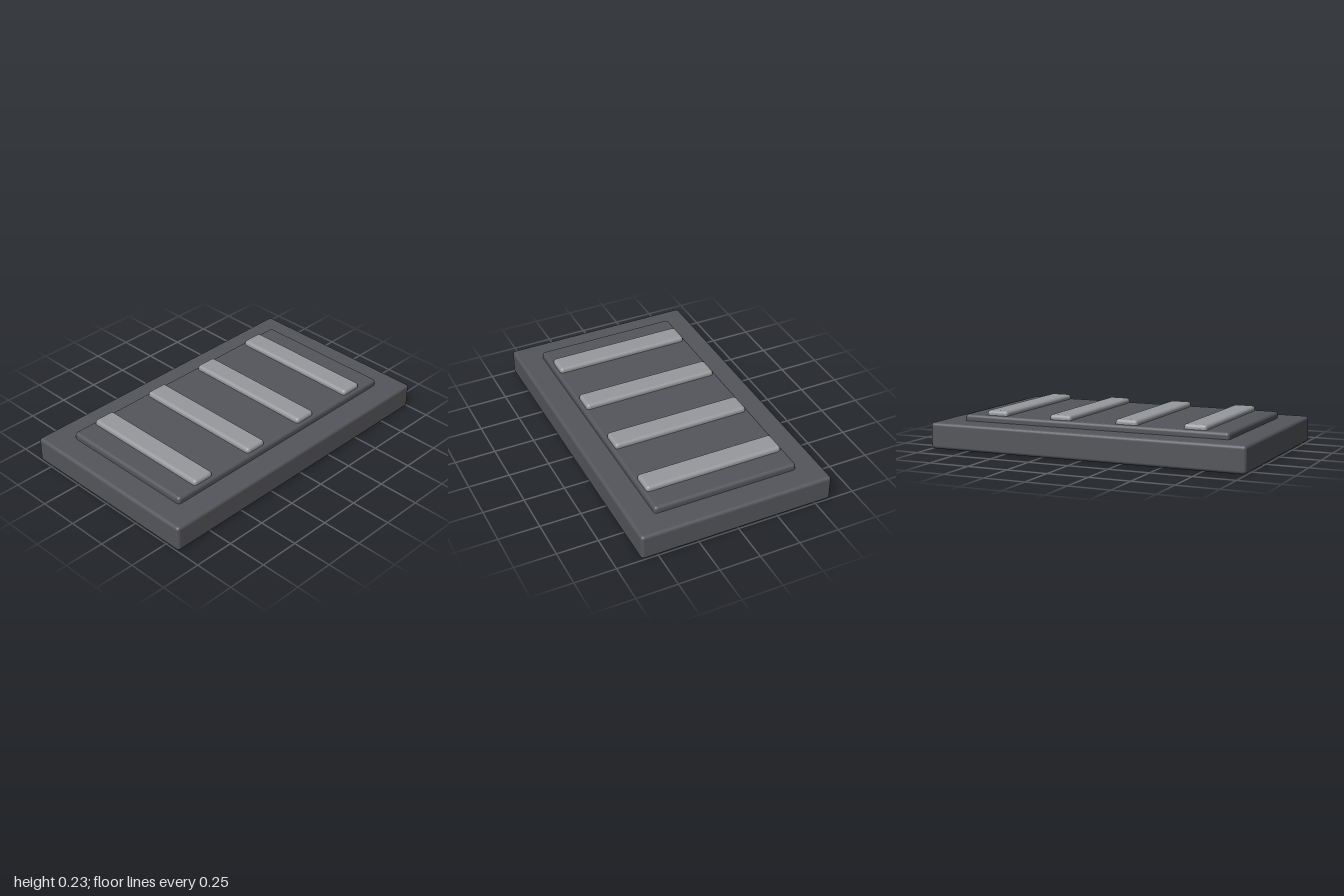
import * as THREE from 'three';
import { RoundedBoxGeometry } from 'three/addons/geometries/RoundedBoxGeometry.js';

export function createModel() {
  const model = new THREE.Group();
  model.name = 'ribbedPlatform';
  const dark = new THREE.MeshStandardMaterial({ color: 0x55565b });
  const light = new THREE.MeshStandardMaterial({ color: 0x98999c });

  // Rounded slab centred on z = 0, given its bottom and top heights
  function slab(name, width, depth, bottom, top, radius, x, material) {
    const geometry = new RoundedBoxGeometry(width, top - bottom, depth, 4, radius);
    const mesh = new THREE.Mesh(geometry, material);
    mesh.name = name;
    mesh.position.set(x, (bottom + top) / 2, 0);
    model.add(mesh);
  }

  // Thick base and the raised panel set into its top
  slab('base', 2, 1.2, 0, 0.16, 0.02, 0, dark);
  slab('raisedPanel', 1.7, 0.9, 0.12, 0.2, 0.02, 0, dark);

  // Four evenly spaced ribs across the panel
  const spacing = 0.425;
  for (let i = 0; i < 4; i++) {
    slab(`rib${i + 1}`, 0.14, 0.86, 0.17, 0.23, 0.02, (i - 1.5) * spacing, light);
  }

  return model;
}
